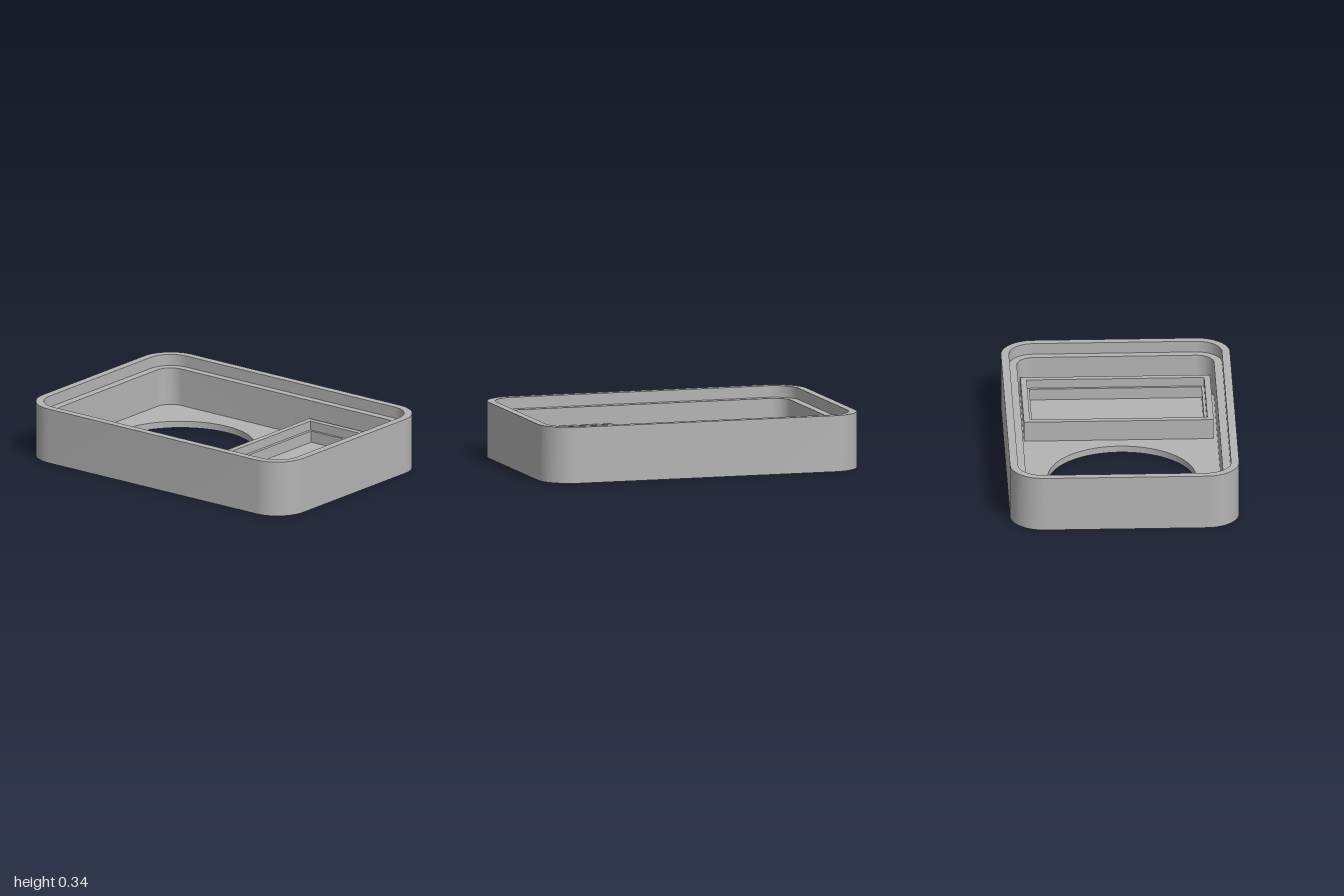
import * as THREE from 'three';
import { mergeGeometries, toCreasedNormals } from 'three/addons/utils/BufferGeometryUtils.js';

// Plan outlines are 2D loops, counter-clockwise from above, with plan y = -z.
function rect(halfX, z0, z1, r = 0, steps = 14) {
  const pts = [];
  const corners = [[halfX, -z0], [-halfX, -z0], [-halfX, -z1], [halfX, -z1]];
  const signs = [[-1, -1], [1, -1], [1, 1], [-1, 1]];
  corners.forEach(([x, y], k) => {
    if (r === 0) return pts.push(new THREE.Vector2(x, y));
    for (let i = 0; i <= steps; i++) {
      const a = (k + i / steps) * Math.PI / 2;
      pts.push(new THREE.Vector2(
        x + signs[k][0] * r + r * Math.cos(a),
        y + signs[k][1] * r + r * Math.sin(a)));
    }
  });
  return pts;
}

function circle(radius, z, steps = 72) {
  return Array.from({ length: steps }, (_, i) => {
    const a = i / steps * Math.PI * 2;
    return new THREE.Vector2(radius * Math.cos(a), -z + radius * Math.sin(a));
  });
}

// Upright wall along a loop, facing out or in
function wall(loop, y0, y1, inward = false) {
  const pos = [];
  loop.forEach((p, i) => {
    const q = loop[(i + 1) % loop.length];
    const a = [p.x, y0, -p.y], b = [q.x, y0, -q.y];
    const c = [q.x, y1, -q.y], d = [p.x, y1, -p.y];
    const order = inward ? [a, c, b, a, d, c] : [a, b, c, a, c, d];
    pos.push(...order.flat());
  });
  const g = new THREE.BufferGeometry();
  g.setAttribute('position', new THREE.Float32BufferAttribute(pos, 3));
  return g;
}

// Level face inside a loop, with holes, facing up or down
function level(loop, holes, y, down = false) {
  const shape = new THREE.Shape(loop);
  shape.holes = holes.map((h) => new THREE.Path(h));
  const g = new THREE.ShapeGeometry(shape);
  g.rotateX(-Math.PI / 2).translate(0, y, 0);
  if (down) g.index.array.reverse();
  g.deleteAttribute('uv');
  g.deleteAttribute('normal');
  return g.toNonIndexed();
}

function part(name, pieces, material) {
  const mesh = new THREE.Mesh(toCreasedNormals(mergeGeometries(pieces), 0.6), material);
  mesh.name = name;
  return mesh;
}

export function createModel() {
  const grey = new THREE.MeshStandardMaterial({ color: 0xb4b4b4 });
  grey.name = 'grey';

  const height = 0.34, ledge = 0.27, floor = 0.04;
  const trayTop = 0.165, trayLedge = 0.11;

  const outer = rect(0.688, -1, 1, 0.2);
  const lip = rect(0.64, -0.952, 0.952, 0.152);
  const cavity = rect(0.592, -0.904, 0.904, 0.104);
  const hole = circle(0.445, -0.335);
  const trayOuter = rect(0.57, 0.2, 0.848);
  const trayLip = rect(0.533, 0.237, 0.811);
  const trayInner = rect(0.517, 0.257, 0.795);

  const model = new THREE.Group();
  model.name = 'openCase';
  model.add(
    // Outer shell with a stepped rim
    part('caseWalls', [
      wall(outer, 0, height),
      level(outer, [lip], height),
      wall(lip, ledge, height, true),
      level(lip, [cavity], ledge),
      wall(cavity, floor, ledge, true),
    ], grey),
    // Base plate with the round opening
    part('base', [
      level(outer, [hole], 0, true),
      wall(hole, 0, floor, true),
      level(cavity, [hole, trayOuter], floor),
    ], grey),
    // Rectangular compartment with its own inner ledge
    part('compartment', [
      wall(trayOuter, floor, trayTop),
      level(trayOuter, [trayLip], trayTop),
      wall(trayLip, trayLedge, trayTop, true),
      level(trayLip, [trayInner], trayLedge),
      wall(trayInner, floor, trayLedge, true),
      level(trayInner, [], floor),
    ], grey),
  );
  return model;
}
